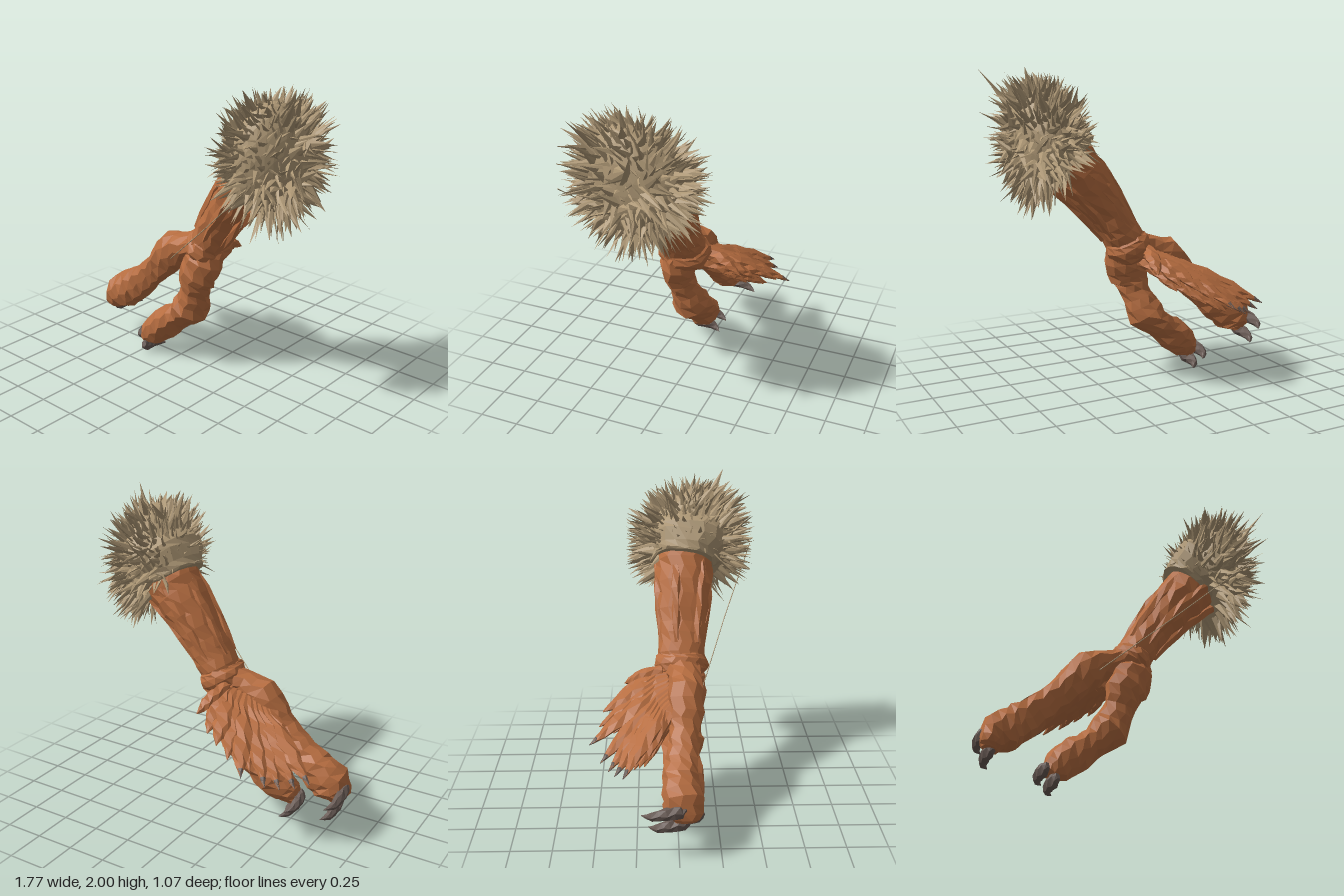
import * as THREE from 'three';
import { mergeGeometries } from 'three/addons/utils/BufferGeometryUtils.js';

const V = (x, y, z) => new THREE.Vector3(x, y, z);
let seed = 7;
const rand = () => {
  seed = (seed * 16807) % 2147483647;
  return seed / 2147483647;
};
const jitter = (s) => (rand() - 0.5) * 2 * s;

// Tapered limb through sections [x, y, z, width, depth]; depth lies along ref.
function limb(sections, rings, sides, rough, ref = V(0, 0, 1)) {
  const path = new THREE.CatmullRomCurve3(sections.map((s) => V(s[0], s[1], s[2])));
  const radii = new THREE.CatmullRomCurve3(sections.map((s) => V(s[3], s[4], 0)));
  const ridge = Array.from({ length: sides }, () => 1 + jitter(rough * 0.7));
  const pos = [], index = [];
  for (let i = 0; i <= rings; i++) {
    const c = path.getPoint(i / rings), t = path.getTangent(i / rings), r = radii.getPoint(i / rings);
    const u = ref.clone().cross(t).normalize(), v = t.clone().cross(u);
    for (let j = 0; j < sides; j++) {
      const a = ((j + (i % 2) * 0.3) / sides) * Math.PI * 2, k = ridge[j] + jitter(rough);
      const p = c.clone()
        .addScaledVector(u, Math.cos(a) * Math.max(r.x, 0.002) * k)
        .addScaledVector(v, Math.sin(a) * Math.max(r.y, 0.002) * k);
      pos.push(p.x, p.y, p.z);
    }
  }
  for (let i = 0; i < rings; i++) {
    for (let j = 0; j < sides; j++) {
      const a = i * sides + j, b = i * sides + ((j + 1) % sides);
      index.push(a, b, a + sides, b, b + sides, a + sides);
    }
  }
  const last = rings * sides;
  for (let j = 1; j < sides - 1; j++) {
    index.push(0, j + 1, j, last, last + j, last + j + 1);
  }
  const g = new THREE.BufferGeometry();
  g.setAttribute('position', new THREE.Float32BufferAttribute(pos, 3));
  g.setIndex(index);
  const flat = g.toNonIndexed();
  flat.computeVertexNormals();
  return flat;
}

// Flat pointed shard from base to tip.
function shard(base, tip, width) {
  const dir = tip.clone().sub(base), len = dir.length();
  const g = new THREE.ConeGeometry(width, len, 4, 1, true).toNonIndexed();
  g.scale(1, 1, 0.4);
  g.translate(0, len / 2, 0);
  g.rotateY(rand() * Math.PI);
  g.applyQuaternion(new THREE.Quaternion().setFromUnitVectors(V(0, 1, 0), dir.normalize()));
  g.translate(base.x, base.y, base.z);
  g.deleteAttribute('uv');
  g.computeVertexNormals();
  return g;
}

export function createModel() {
  seed = 7;
  const group = new THREE.Group();
  const mat = (name, color) => {
    const m = new THREE.MeshStandardMaterial({ color, flatShading: true });
    m.name = name;
    return m;
  };
  const skin = mat('rust skin', 0xb66d40);
  const fur = mat('tan fur', 0xac9674);
  const horn = mat('grey horn', 0x685a54);
  const add = (name, geometry, material) => {
    const m = new THREE.Mesh(geometry, material);
    m.name = name;
    group.add(m);
  };

  // Forearm with lengthwise ridges
  add('forearm', limb([
    [0.50, 1.54, 0.07, 0.18, 0.19], [0.42, 1.43, 0.06, 0.175, 0.19], [0.28, 1.27, 0.05, 0.145, 0.175],
    [0.14, 1.07, 0.04, 0.115, 0.155], [0.05, 0.93, 0.035, 0.12, 0.15], [0.0, 0.83, 0.04, 0.13, 0.14],
  ], 14, 14, 0.05), skin);

  // Wrist folds and raised tendons
  add('wristFold', limb([
    [0.06, 0.95, 0.035, 0.10, 0.13], [0.04, 0.91, 0.035, 0.135, 0.165],
    [0.01, 0.86, 0.035, 0.14, 0.165], [-0.02, 0.81, 0.04, 0.10, 0.12],
  ], 5, 13, 0.06), skin);
  const tendons = [];
  for (let i = 0; i < 6; i++) {
    const a = (i / 6) * Math.PI * 2 + 0.3, c = Math.cos(a), s = Math.sin(a);
    tendons.push(limb([
      [0.46 + 0.13 * c, 1.44 - 0.10 * c, 0.06 + 0.17 * s, 0.03, 0.03],
      [0.28 + 0.11 * c, 1.26 - 0.08 * c, 0.05 + 0.16 * s, 0.035, 0.03],
      [0.08 + 0.09 * c, 0.98 - 0.06 * c, 0.04 + 0.13 * s, 0.02, 0.02],
    ], 6, 5, 0.2));
  }
  add('tendons', mergeGeometries(tendons), skin);

  // Two long fingers with swollen knuckles
  add('outerFinger', limb([
    [0.0, 0.87, 0.04, 0.10, 0.12], [-0.14, 0.84, 0.05, 0.09, 0.11], [-0.26, 0.78, 0.05, 0.12, 0.115],
    [-0.36, 0.665, 0.045, 0.10, 0.115], [-0.46, 0.57, 0.03, 0.09, 0.09], [-0.56, 0.485, 0.02, 0.10, 0.10],
    [-0.66, 0.41, 0.01, 0.12, 0.115], [-0.745, 0.35, 0.02, 0.125, 0.125], [-0.80, 0.28, 0.03, 0.09, 0.11],
    [-0.815, 0.23, 0.03, 0.05, 0.07],
  ], 20, 10, 0.08), skin);
  add('innerFinger', limb([
    [0.05, 0.90, 0.05, 0.10, 0.10], [0.02, 0.76, 0.08, 0.135, 0.115], [-0.03, 0.66, 0.085, 0.12, 0.10],
    [-0.06, 0.55, 0.065, 0.095, 0.095], [-0.11, 0.43, 0.04, 0.12, 0.135], [-0.22, 0.33, 0.03, 0.09, 0.12],
    [-0.33, 0.24, 0.05, 0.11, 0.12], [-0.43, 0.15, 0.08, 0.095, 0.095], [-0.48, 0.10, 0.09, 0.05, 0.06],
  ], 20, 10, 0.08), skin);

  // Hooked claws, two on each finger, curling backwards
  const claws = [
    [-0.85, 0.33], [-0.81, 0.23], [-0.51, 0.13], [-0.455, 0.065],
  ].map(([x, y], i) => {
    const z = [-0.01, 0.0, 0.08, 0.10][i], reach = [0.21, 0.18, 0.15, 0.14][i];
    return limb([
      [x + 0.01, y + 0.01, z + 0.06, 0.015, 0.02], [x - 0.005, y - 0.01, z + 0.02, 0.035, 0.045],
      [x - 0.015, y - 0.02, z - reach * 0.3, 0.035, 0.04],
      [x - 0.01, y - 0.04, z - reach * 0.7, 0.022, 0.026], [x + 0.025, y - 0.05, z - reach, 0.002, 0.002],
    ], 8, 6, 0.05, V(0, 1, 0));
  });
  add('claws', mergeGeometries(claws), horn);

  // Fan of flat quills behind the hand, in an upper and a lower layer
  const tips = [
    [-0.66, 0.50, -0.23], [-0.77, 0.49, -0.32], [-0.70, 0.47, -0.37], [-0.62, 0.46, -0.41], [-0.55, 0.48, -0.46],
    [-0.43, 0.54, -0.53], [-0.31, 0.60, -0.48], [-0.22, 0.66, -0.46], [-0.12, 0.69, -0.40],
  ];
  const fanNormal = V(-0.3, 0.85, -0.42).normalize();
  const quills = [], quillTips = [];
  const quill = (root, tip, w, horned) => {
    const at = (k, lift) => root.clone().lerp(tip, k).addScaledVector(fanNormal, lift).toArray();
    quills.push(limb([
      [...at(0, 0), w, 0.04], [...at(0.35, 0.015), w * 1.15, 0.042], [...at(0.65, 0.012), w * 1.05, 0.033],
      [...at(0.85, 0.005), w * 0.55, 0.022], [...at(1, 0), 0.003, 0.003],
    ], 8, 6, 0.12, fanNormal));
    if (horned) {
      quillTips.push(limb([
        [...at(0.91, 0.003), w * 0.34, 0.017], [...at(1.01, 0), 0.002, 0.002],
      ], 2, 5, 0.05, fanNormal));
    }
  };
  tips.forEach((t, i) => {
    const k = i / (tips.length - 1);
    const root = V(-0.30 + 0.24 * k, 0.74 + 0.10 * k, -0.03 - 0.03 * k);
    quill(root, V(...t), 0.058, i > 0 && i < 6);
    if (i > 0) {
      const low = V(...t).lerp(V(...tips[i - 1]), 0.5).lerp(root, 0.18);
      quill(root.clone().addScaledVector(fanNormal, -0.06), low.addScaledVector(fanNormal, -0.07), 0.045, false);
    }
  });
  // Small spur beside the wrist
  quill(V(-0.06, 0.86, -0.08), V(0.0, 0.76, -0.33), 0.04, false);
  add('fanQuills', mergeGeometries(quills), skin);
  add('quillTips', mergeGeometries(quillTips), horn);

  // Furry collar around the top of the forearm
  add('furCollar', limb([
    [0.395, 1.465, 0.065, 0.175, 0.195], [0.42, 1.495, 0.07, 0.195, 0.215],
    [0.50, 1.56, 0.09, 0.25, 0.27], [0.57, 1.62, 0.1, 0.22, 0.25],
  ], 6, 18, 0.04), fur);

  // Shaggy cuff: lopsided core, higher at the front and outer side, cut flat where the forearm enters
  const center = V(0.56, 1.555, 0.10), size = V(0.205, 0.33, 0.315);
  const axis = V(0.77, 0.63, 0).normalize(), cut = V(0.455, 1.46, 0.1);
  const onCore = (n) => {
    const q = n.clone().multiply(size), up = Math.max(n.y, 0);
    q.y += up * (0.35 * q.x + 0.3 * q.z);
    return q.add(center);
  };
  const core = new THREE.IcosahedronGeometry(1, 4), p = core.attributes.position;
  for (let i = 0; i < p.count; i++) {
    const q = onCore(V().fromBufferAttribute(p, i));
    const depth = q.clone().sub(cut).dot(axis);
    if (depth < 0) q.addScaledVector(axis, -depth);
    p.setXYZ(i, q.x, q.y, q.z);
  }
  core.computeVertexNormals();
  add('furCore', core, fur);

  // Broad fur shards swept outwards from the arm and lying low over the core
  const shards = [], count = 620;
  for (let i = 0; i < count; i++) {
    const y = 1 - (2 * (i + 0.5)) / count, a = i * 2.39996, r = Math.sqrt(1 - y * y);
    const n = V(r * Math.cos(a), y, r * Math.sin(a));
    const base = onCore(n);
    if (base.clone().sub(cut).dot(axis) < -0.03) continue;
    const normal = n.clone().divide(size).normalize();
    const dir = V(0.1, 0.7 * n.y, 0.7 * n.z).addScaledVector(normal, 0.42);
    dir.add(V(jitter(0.3), jitter(0.38), jitter(0.38))).normalize();
    base.addScaledVector(dir, -0.06).addScaledVector(normal, 0.01);
    const tip = base.clone().addScaledVector(dir, 0.13 + 0.1 * rand());
    tip.set(Math.min(tip.x, 0.81 + 0.03 * rand()), Math.min(tip.y, 1.88 + 0.09 * rand()), THREE.MathUtils.clamp(tip.z, -0.32, 0.52));
    shards.push(shard(base, tip, 0.02 + 0.02 * rand()));
  }
  // Longer stray tufts
  [
    [0.87, 1.98, 0.34], [0.65, 2.0, 0.14], [0.82, 1.88, 0.25], [0.76, 1.93, 0.2], [0.64, 1.08, 0.1],
    [0.67, 1.13, 0.0], [0.30, 1.78, 0.05], [0.29, 1.66, 0.2], [0.60, 1.62, -0.32], [0.52, 1.58, 0.53],
    [0.84, 1.72, 0.44], [0.55, 1.93, 0.38], [0.58, 1.85, 0.46], [0.70, 1.78, -0.2],
  ].forEach((t) => {
    const tip = V(...t);
    shards.push(shard(center.clone().lerp(tip, 0.6), tip, 0.035));
  });
  add('furShards', mergeGeometries(shards), fur);

  // Thin stray strand from the cuff to the hand
  add('strand', limb([
    [-0.34, 0.65, 0.09, 0.003, 0.003], [0.24, 1.12, 0.32, 0.003, 0.003], [0.70, 1.50, 0.52, 0.003, 0.003],
  ], 2, 4, 0), fur);

  return group;
}
